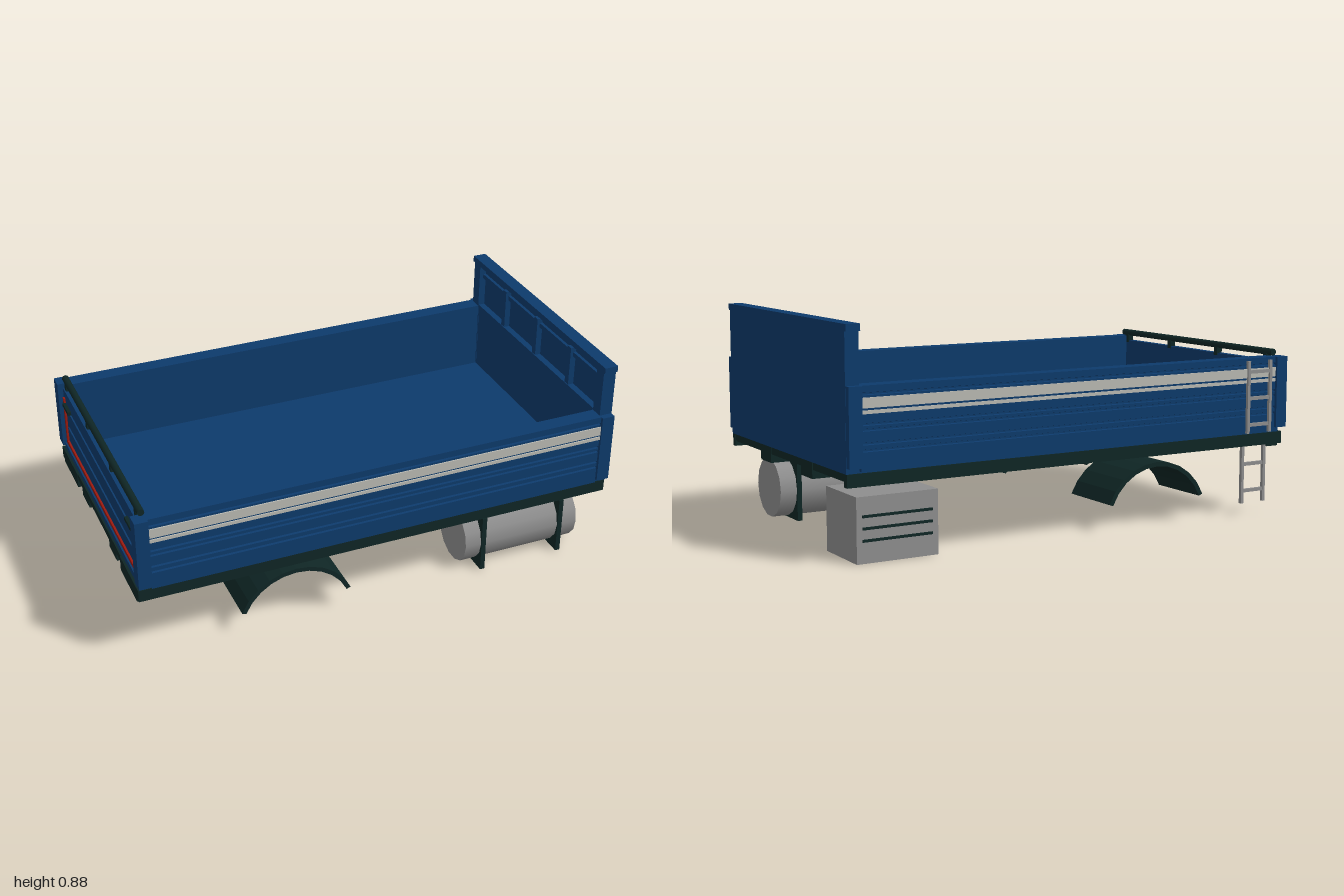
import * as THREE from 'three';

const mat = (name, color, side = THREE.FrontSide) => {
  const m = new THREE.MeshStandardMaterial({ color, side });
  m.name = name;
  return m;
};

export function createModel() {
  const blue = mat('body blue', 0x0d3a6b);
  const dark = mat('chassis dark green', 0x0f2625);
  const grey = mat('metal grey', 0x8e8e8e);
  const silver = mat('trim silver', 0xb9b9b2);
  const red = mat('marking red', 0x9a1a10);

  const root = new THREE.Group();
  root.name = 'truckBed';

  const add = (name, geo, material, parent = root) => {
    const m = new THREE.Mesh(geo, material);
    m.name = name;
    parent.add(m);
    return m;
  };
  // Box given by its limits on each axis
  const box = (name, material, x0, x1, y0, y1, z0, z1, parent = root) => {
    const m = add(name, new THREE.BoxGeometry(x1 - x0, y1 - y0, z1 - z0), material, parent);
    m.position.set((x0 + x1) / 2, (y0 + y1) / 2, (z0 + z1) / 2);
    return m;
  };
  const group = (name) => {
    const g = new THREE.Group();
    g.name = name;
    root.add(g);
    return g;
  };
  // Same box on both sides of z = 0
  const pair = (name, material, x0, x1, y0, y1, z0, z1, parent = root) => {
    box(name + 'Left', material, x0, x1, y0, y1, z0, z1, parent);
    box(name + 'Right', material, x0, x1, y0, y1, -z1, -z0, parent);
  };

  // Cargo floor
  box('floor', blue, -0.98, 0.99, 0.338, 0.362, -0.555, 0.555);

  // Grooved drop sides, extruded along x
  const outer = 0.571, depth = 0.009;
  const profile = [[0.505, 0.345], [outer, 0.345]];
  for (const y of [0.42, 0.445, 0.495, 0.515, 0.625]) {
    profile.push([outer, y - 0.005], [outer - depth, y - 0.003], [outer - depth, y + 0.003], [outer, y + 0.005]);
  }
  profile.push([outer, 0.655], [0.505, 0.655]);
  const sideShape = new THREE.Shape(profile.map((p) => new THREE.Vector2(p[0], p[1])));
  const sideGeo = new THREE.ExtrudeGeometry(sideShape, { depth: 1.894, bevelEnabled: false });
  sideGeo.translate(0, 0, -0.947);
  sideGeo.rotateY(-Math.PI / 2);
  for (const s of [1, -1]) {
    const side = group(s > 0 ? 'dropSideFront' : 'dropSideBack');
    add('sidePanel', sideGeo, blue, side);
    box('wideTrim', silver, -0.945, 0.945, 0.574, 0.612, 0.5705, 0.5765, side);
    box('narrowTrim', silver, -0.945, 0.945, 0.553, 0.566, 0.5705, 0.5765, side);
    if (s < 0) side.rotation.y = Math.PI;
  }

  // Corner posts
  pair('rearPost', blue, -1, -0.947, 0.36, 0.655, 0.525, 0.583);
  pair('frontPost', blue, 0.945, 0.999, 0.36, 0.655, 0.5, 0.583);

  // Headboard with cap and ribbed inner face
  const head = group('headboard');
  box('headPanel', blue, 0.975, 1, 0.338, 0.86, -0.557, 0.557, head);
  box('headLowerPanel', blue, 0.947, 0.98, 0.345, 0.66, -0.55, 0.55, head);
  box('headCap', blue, 0.943, 1, 0.85, 0.876, -0.568, 0.568, head);
  box('headUpperRail', blue, 0.962, 0.98, 0.79, 0.81, -0.52, 0.52, head);
  pair('headUpright', blue, 0.945, 0.985, 0.655, 0.855, 0.505, 0.557, head);
  for (const z of [-0.28, 0, 0.28]) box('headRib', blue, 0.95, 0.98, 0.655, 0.83, z - 0.014, z + 0.014, head);

  // Tailgate with red U-shaped marking and top tube
  const gate = group('tailgate');
  box('gatePanel', blue, -0.978, -0.95, 0.345, 0.635, -0.53, 0.53, gate);
  box('gateSill', blue, -0.99, -0.97, 0.345, 0.372, -0.53, 0.53, gate);
  for (const y of [0.45, 0.54]) box('gateRib', blue, -0.984, -0.97, y, y + 0.025, -0.47, 0.47, gate);
  box('redBottom', red, -0.986, -0.977, 0.38, 0.396, -0.51, 0.51, gate);
  pair('redUpright', red, -0.986, -0.977, 0.38, 0.6, 0.494, 0.51, gate);
  pair('gateLatch', dark, -0.992, -0.977, 0.565, 0.58, 0.41, 0.5, gate);
  const tube = add('topTube', new THREE.CylinderGeometry(0.014, 0.014, 1.08, 10), dark, gate);
  tube.rotation.x = Math.PI / 2;
  tube.position.set(-0.961, 0.67, 0);
  for (const z of [-0.5, -0.17, 0.17, 0.5]) {
    box('tubeBracket', dark, -0.973, -0.948, 0.625, 0.672, z - 0.012, z + 0.012, gate);
  }

  // Subframe: long beams, outer rails, crossmembers, rear blocks
  const frame = group('subframe');
  pair('mainBeam', dark, -0.995, 0.998, 0.274, 0.338, 0.148, 0.252, frame);
  pair('outerRail', dark, -0.998, 0.998, 0.288, 0.338, 0.532, 0.558, frame);
  for (let i = 0; i < 9; i++) {
    const x = -0.975 + i * 0.24375;
    box('crossmember', dark, x - 0.02, x + 0.02, 0.308, 0.338, -0.545, 0.545, frame);
  }
  pair('rearBlock', dark, -0.998, -0.94, 0.274, 0.338, 0.315, 0.533, frame);

  // Curved wheel guards
  const arc = [];
  const half = 1.17, steps = 10;
  for (let i = 0; i <= steps; i++) {
    const a = Math.PI / 2 + half - (2 * half * i) / steps;
    arc.push([Math.cos(a), Math.sin(a)]);
  }
  const ring = [
    ...arc.map(([c, s]) => new THREE.Vector2(c * 0.248, s * 0.248)),
    ...arc.slice().reverse().map(([c, s]) => new THREE.Vector2(c * 0.23, s * 0.23)),
  ];
  const guardGeo = new THREE.ExtrudeGeometry(new THREE.Shape(ring), { depth: 0.276, bevelEnabled: false });
  for (const z of [0.277, -0.553]) add('wheelGuard', guardGeo, dark).position.set(-0.364, 0.014, z);

  // Round tank held by two square plates
  const tank = group('tank');
  const barrel = add('tankBarrel', new THREE.CylinderGeometry(0.122, 0.122, 0.515, 14), grey, tank);
  barrel.rotation.z = Math.PI / 2;
  barrel.position.set(0.653, 0.129, 0.39);
  for (const x of [0.475, 0.83]) box('tankPlate', dark, x - 0.01, x + 0.01, 0.002, 0.252, 0.265, 0.516, tank);

  // Storage box with dark slots on its outer face
  const locker = group('storageBox');
  box('boxBody', grey, 0.62, 0.953, 0, 0.248, -0.536, -0.275, locker);
  for (const y of [0.085, 0.13, 0.175]) box('boxSlot', dark, 0.645, 0.93, y - 0.005, y + 0.005, -0.541, -0.535, locker);

  // Ladders: one hanging below, one folded on the side wall
  const ladder = (name, y0, y1, z0, z1, rungs) => {
    const g = group(name);
    box('railRear', grey, -0.921, -0.908, y0, y1, z0, z1, g);
    box('railFront', grey, -0.808, -0.795, y0, y1, z0, z1, g);
    for (const y of rungs) box('rung', grey, -0.91, -0.806, y - 0.007, y + 0.007, z0 + 0.001, z1 - 0.001, g);
  };
  ladder('lowerLadder', 0.048, 0.295, -0.552, -0.538, [0.1, 0.212]);
  ladder('upperLadder', 0.345, 0.645, -0.584, -0.57, [0.38, 0.49, 0.6]);

  return root;
}
